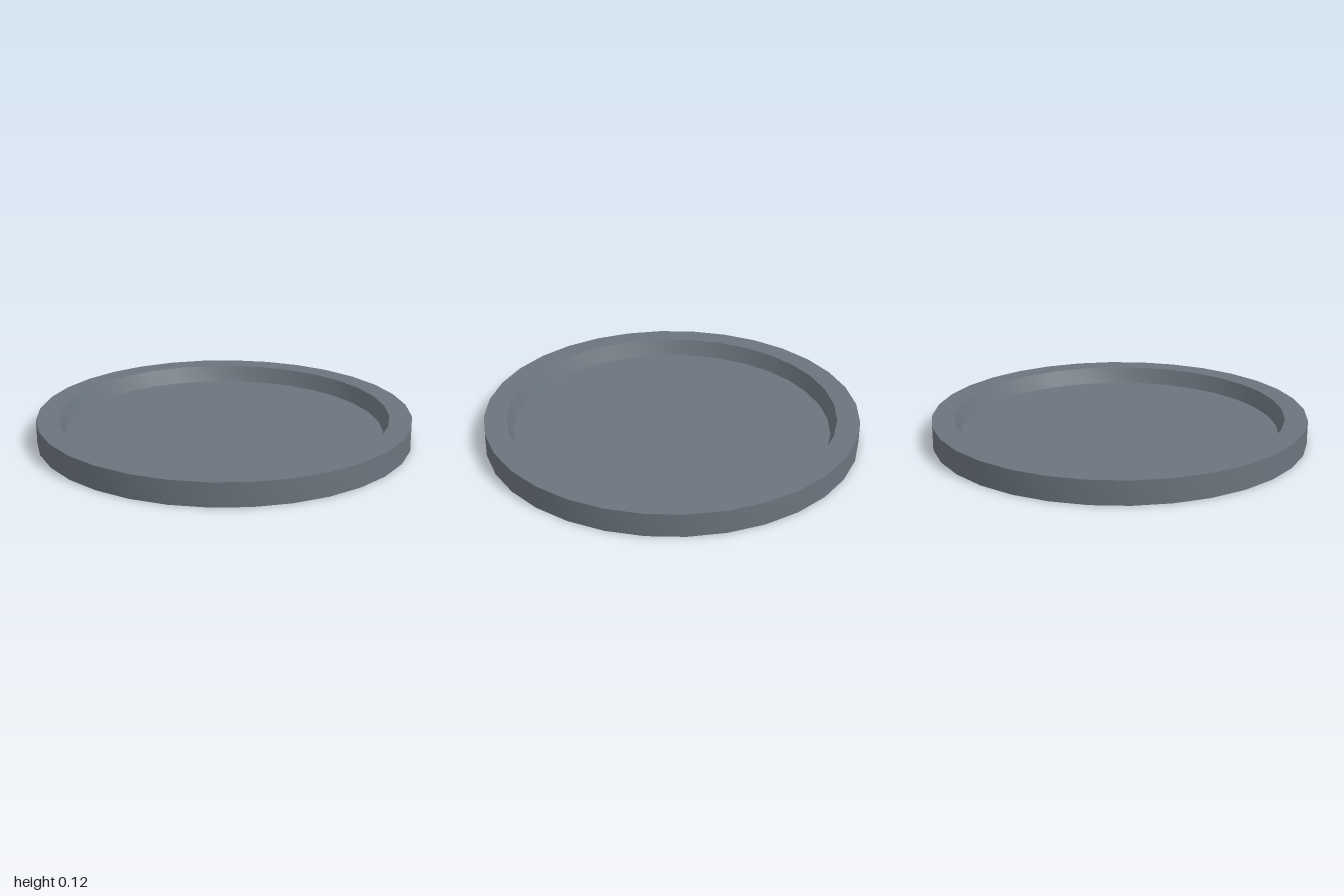
import * as THREE from 'three';
import { toCreasedNormals } from 'three/addons/utils/BufferGeometryUtils.js';

const SIDES = 32;
const HEIGHT = 0.125;
const FLOOR = 0.037;

export function createModel() {
  const group = new THREE.Group();
  group.name = 'roundTray';

  // Cross-section: underside, outer wall, flat rim, sloped inner wall, recessed floor
  const profile = [
    [0, 0],
    [1, 0],
    [1, HEIGHT],
    [0.88, HEIGHT],
    [0.85, FLOOR],
    [0, FLOOR],
  ].map(([r, y]) => new THREE.Vector2(r, y));

  // Smooth round the walls, sharp at the rim edges
  const geometry = toCreasedNormals(new THREE.LatheGeometry(profile, SIDES), 0.6);
  const material = new THREE.MeshStandardMaterial({ color: 0x6b757e });

  const tray = new THREE.Mesh(geometry, material);
  tray.name = 'tray';
  group.add(tray);
  return group;
}
